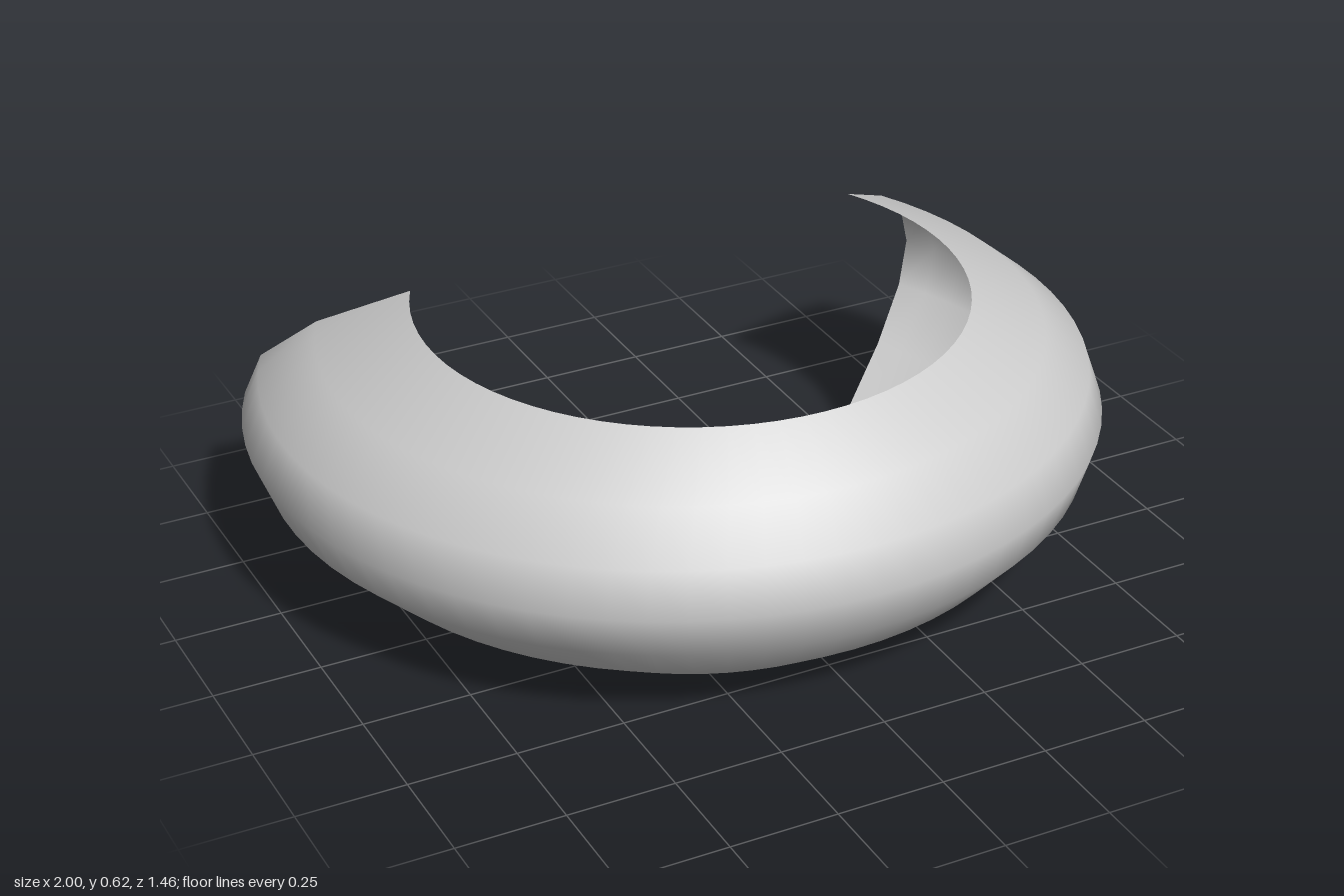
import * as THREE from 'three';

export function createModel() {
  const group = new THREE.Group();
  const shellGrey = new THREE.MeshStandardMaterial({ color: 0xcccccc, side: THREE.DoubleSide });
  shellGrey.name = 'shellGrey';

  // Bulging band profile: seven levels, widest in the middle
  const height = 0.62;
  const radii = [0.637, 0.837, 0.96, 1, 0.96, 0.837, 0.637];
  const profile = radii.map((r, i) => new THREE.Vector2(r, (height * i) / 6));

  // Open arc, with the gap at the back
  const halfArc = THREE.MathUtils.degToRad(117.1);
  const geometry = new THREE.LatheGeometry(profile, 48, -halfArc, halfArc * 2);

  // Each level is scaled about the middle of the arc's depth, so its centre shifts back with its radius
  const pos = geometry.attributes.position;
  for (let i = 0; i < pos.count; i++) {
    const r = Math.hypot(pos.getX(i), pos.getZ(i));
    pos.setZ(i, pos.getZ(i) - 0.272 * r);
  }
  geometry.computeVertexNormals();

  const shell = new THREE.Mesh(geometry, shellGrey);
  shell.name = 'curvedShell';
  group.add(shell);
  return group;
}
